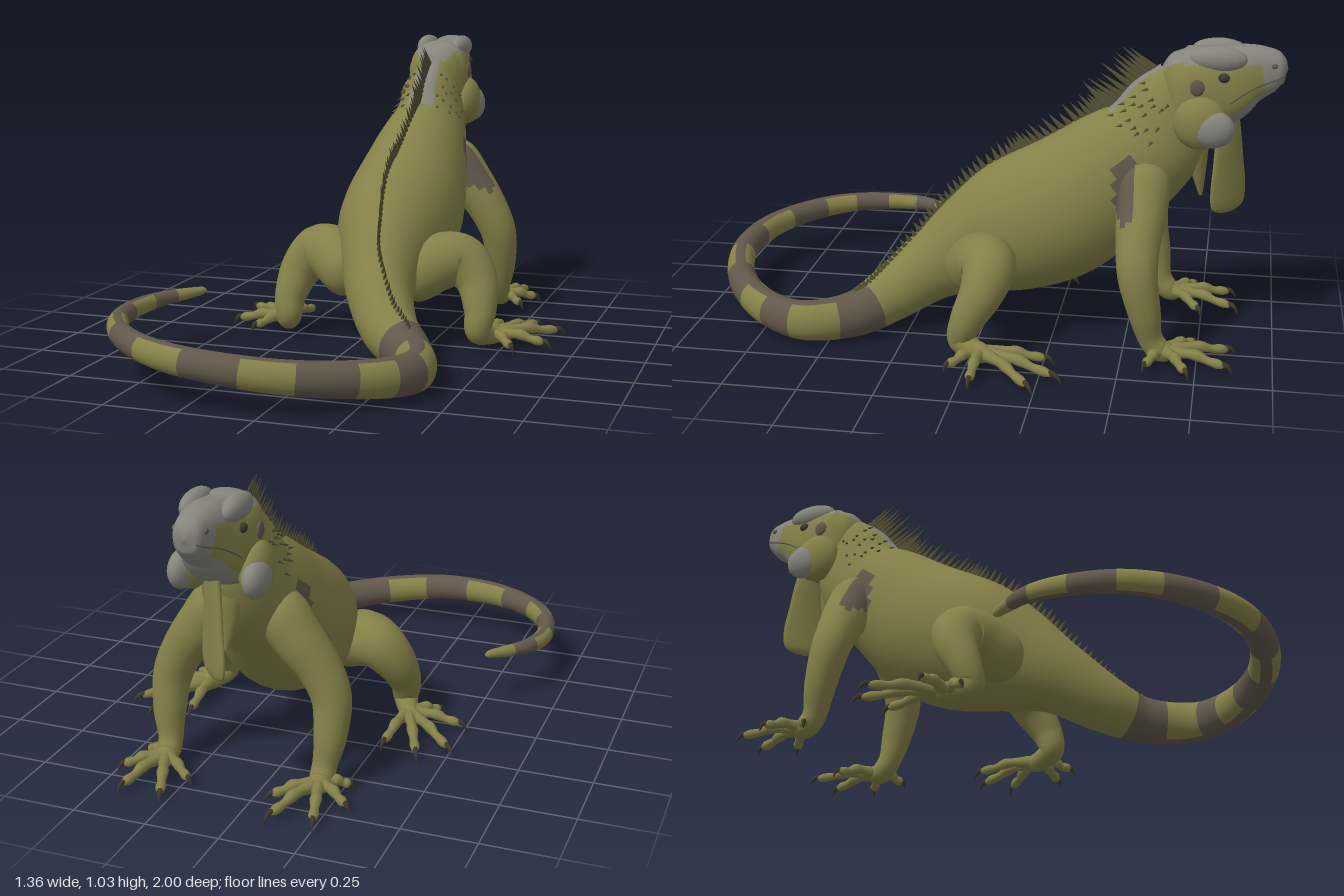
import * as THREE from 'three';
import { mergeGeometries } from 'three/addons/utils/BufferGeometryUtils.js';

const mat = (name, color) => Object.assign(new THREE.MeshStandardMaterial({ color }), { name });
const V = (x, y, z) => new THREE.Vector3(x, y, z);
const UP = V(0, 1, 0);

// Smooth path through stations [x, y, z, halfWidth, halfHeight]; returns a frame at station u
function makePath(stations, ref = UP) {
  const n = stations.length - 1;
  const line = new THREE.CatmullRomCurve3(stations.map(s => V(s[0], s[1], s[2])), false, 'catmullrom', 0.5);
  const size = new THREE.CatmullRomCurve3(stations.map(s => V(s[3], s[4] ?? s[3], 0)), false, 'catmullrom', 0.5);
  const at = u => {
    const t = line.getTangent(u / n), r = size.getPoint(u / n);
    const side = t.clone().cross(ref).normalize();
    return { c: line.getPoint(u / n), t, side, up: side.clone().cross(t), w: Math.max(r.x, 0.001), h: Math.max(r.y, 0.001) };
  };
  const point = (u, a, pow = 1, grow = 1) => {
    const f = at(u), q = v => Math.sign(v) * Math.abs(v) ** pow;
    return f.c.addScaledVector(f.side, q(Math.cos(a)) * f.w * grow).addScaledVector(f.up, q(Math.sin(a)) * f.h * grow);
  };
  return { n, at, point };
}

// Skin a path with rings; pick(u, angle, point) chooses the material of each face
function loft(path, { sides = 16, steps = 5, pow = 1, pick = () => 0, count = 1 } = {}) {
  const rings = path.n * steps, pos = [], lists = Array.from({ length: count }, () => []);
  for (let i = 0; i <= rings; i++)
    for (let j = 0; j < sides; j++) pos.push(...path.point(i / steps, (j / sides) * Math.PI * 2, pow).toArray());
  for (let i = 0; i < rings; i++)
    for (let j = 0; j < sides; j++) {
      const k = (j + 1) % sides, a = i * sides + j, b = i * sides + k, c = a + sides, d = b + sides;
      const u = (i + 0.5) / steps, angle = ((j + 0.5) / sides) * Math.PI * 2;
      lists[pick(u, angle, path.point(u, angle, pow))].push(a, c, b, b, c, d);
    }
  const g = new THREE.BufferGeometry();
  g.setAttribute('position', new THREE.Float32BufferAttribute(pos, 3));
  g.setIndex(lists.flat());
  let start = 0;
  if (count > 1) lists.forEach((l, i) => { g.addGroup(start, l.length, i); start += l.length; });
  g.computeVertexNormals();
  return g;
}

// Thin spike rooted at p and pointing along dir
function spike(p, dir, length, r, flat = 1) {
  const g = new THREE.ConeGeometry(r, length, 6).translate(0, length * 0.42, 0).scale(flat, 1, 1);
  g.applyQuaternion(new THREE.Quaternion().setFromUnitVectors(UP, dir.clone().normalize()));
  return g.translate(p.x, p.y, p.z);
}

// Brown blotch behind each shoulder
const onShoulderPatch = p => Math.abs(p.x) > 0.08 && ((p.z + 0.495) / 0.042) ** 2 + ((p.y - 0.58) / 0.105) ** 2 < 1;

export function createModel() {
  const olive = mat('olive skin', 0x858048), brown = mat('brown bands', 0x62574a), grey = mat('grey scales', 0x85857c);
  const dark = mat('dark claws', 0x3d382c), crestMat = mat('crest', 0x555034);
  const skins = [olive, brown, grey];
  const model = new THREE.Group(), lizard = new THREE.Group();
  lizard.name = 'lizard';
  lizard.position.x = 0.08;
  model.add(lizard);
  const add = (name, geo, m, parent = lizard) => {
    const o = new THREE.Mesh(geo, m);
    o.name = name;
    parent.add(o);
    return o;
  };

  // Body and curled, banded tail
  const body = makePath([
    [0, 0.9, -0.68, 0.08, 0.11], [0, 0.81, -0.625, 0.108, 0.155], [0, 0.685, -0.555, 0.143, 0.185],
    [0, 0.575, -0.43, 0.18, 0.215], [0, 0.445, -0.27, 0.21, 0.245], [0, 0.36, -0.1, 0.2, 0.235],
    [0.015, 0.285, 0.05, 0.15, 0.185], [0.045, 0.215, 0.18, 0.115, 0.13], [0.12, 0.13, 0.31, 0.095, 0.1],
    [0.22, 0.085, 0.42, 0.075, 0.08], [0.29, 0.078, 0.57, 0.06, 0.07], [0.25, 0.085, 0.7, 0.056, 0.064],
    [0.14, 0.1, 0.82, 0.052, 0.058], [-0.02, 0.117, 0.91, 0.049, 0.054], [-0.21, 0.137, 0.95, 0.046, 0.05],
    [-0.41, 0.15, 0.92, 0.043, 0.046], [-0.58, 0.16, 0.82, 0.039, 0.042], [-0.69, 0.168, 0.68, 0.035, 0.038],
    [-0.73, 0.172, 0.52, 0.031, 0.033], [-0.7, 0.18, 0.37, 0.026, 0.027], [-0.6, 0.19, 0.235, 0.015, 0.015],
    [-0.588, 0.19, 0.222, 0.001]]);
  const bands = [[8.6, 9.4], [10.3, 11.1], [11.8, 12.8], [13.7, 14.6], [15.5, 16.4], [17.2, 18], [18.8, 19.4]];
  add('bodyAndTail', loft(body, {
    sides: 32, steps: 12, count: 3,
    pick: (u, a, p) => {
      if (bands.some(b => u > b[0] && u < b[1]) || onShoulderPatch(p)) return 1;
      if (u > 9.4 && u < 19.4 && Math.abs(Math.sin(a)) > 0.9) return 1;
      return u < 1.8 && Math.sin(a) > 0.95 ? 2 : 0;
    },
  }), skins);

  // Crest of spikes from nape to tail root
  const crest = [];
  for (let i = 0; i < 66; i++) {
    const u = 0.25 + (i / 65) * 8.6, f = body.at(u);
    const len = (u < 2.2 ? 0.14 : 0.098 - (u - 2.2) * 0.011) * (0.86 + 0.14 * Math.sin(i * 2.3));
    const dir = f.up.clone().addScaledVector(f.t, 0.15).addScaledVector(UP, u < 2.2 ? 0.35 : 0.1);
    crest.push(spike(body.point(u, Math.PI / 2, 1, 0.98), dir, len, 0.014, 0.5));
  }
  add('crest', mergeGeometries(crest), crestMat);

  // Head: grey crown, snout and chin, olive cheeks
  const head = makePath([
    [0, 0.87, -0.59, 0.05, 0.07], [0, 0.872, -0.63, 0.095, 0.125], [0, 0.872, -0.69, 0.115, 0.147],
    [0, 0.893, -0.78, 0.106, 0.135], [0, 0.935, -0.87, 0.078, 0.102], [0, 0.953, -0.945, 0.056, 0.074],
    [0, 0.957, -0.985, 0.04, 0.045], [0, 0.957, -1, 0.001]]);
  add('head', loft(head, {
    sides: 36, steps: 8, pow: 0.8, count: 3,
    pick: (u, a) => {
      const top = u < 1.6 ? 0.8 : u < 3.6 ? 0.62 : 0.3;
      return Math.sin(a) > top || u > 4.6 || (u > 2.8 && Math.sin(a) < -0.6) ? 2 : 0;
    },
  }), skins);

  // Throat flap, swung to one side, and a small fold behind it
  add('throatFlap', loft(makePath([
    [0, 0.84, -0.815, 0.03, 0.02], [0, 0.74, -0.818, 0.055, 0.018], [0, 0.63, -0.822, 0.07, 0.016],
    [0, 0.54, -0.825, 0.082, 0.016], [0, 0.48, -0.825, 0.075, 0.015], [0, 0.458, -0.825, 0.04, 0.008],
    [0, 0.455, -0.825, 0.001]], V(0.68, 0, -0.73)), { sides: 20 }), olive);
  add('throatFold', loft(makePath([
    [0, 0.78, -0.7, 0.06, 0.04], [0, 0.68, -0.71, 0.055, 0.045], [0, 0.59, -0.725, 0.035, 0.025],
    [0, 0.51, -0.735, 0.006, 0.006]], V(0, 0, 1)), { sides: 14 }), olive);

  for (const s of [1, -1]) {
    const sideName = s > 0 ? 'right' : 'left';
    const ang = a => (s > 0 ? a : Math.PI - a);
    const ball = (name, p, r, m) => {
      const o = add(sideName + name, new THREE.SphereGeometry(1, 18, 12), m);
      o.position.set(s * p[0], p[1], p[2]);
      o.scale.set(...r);
    };

    // Face details
    ball('Jowl', [0.105, 0.79, -0.725], [0.052, 0.09, 0.088], olive);
    ball('CheekScale', [0.122, 0.775, -0.765], [0.042, 0.064, 0.074], grey);
    ball('Brow', [0.066, 0.995, -0.775], [0.036, 0.043, 0.095], grey);
    ball('Eye', [0.093, 0.94, -0.795], [0.014, 0.016, 0.02], dark);
    ball('Ear', [0.113, 0.908, -0.712], [0.009, 0.028, 0.024], brown);
    ball('Nostril', [0.05, 0.975, -0.955], [0.007, 0.009, 0.011], brown);
    const lip = [3.2, 3.8, 4.4, 5, 5.6, 6.2].map(u => head.point(u, ang(-0.3), 0.8));
    add(sideName + 'MouthLine', new THREE.TubeGeometry(new THREE.CatmullRomCurve3(lip), 20, 0.003, 5), brown);

    // Small pointed scales on the neck
    const scales = [];
    for (let i = 0; i < 20; i++) {
      const u = 0.8 + (i % 5) * 0.25 + 0.1 * Math.sin(i * 4.1), p = body.point(u, ang(0.15 + Math.floor(i / 5) * 0.28 + 0.1 * Math.sin(i * 2.7)));
      const f = body.at(u);
      scales.push(spike(p, p.clone().sub(f.c).normalize().addScaledVector(f.t, 0.7), 0.024, 0.006));
    }
    add(sideName + 'NeckScales', mergeGeometries(scales), crestMat);

    // Limbs with spread, clawed toes
    const limb = (name, stations, ref, palm, tips) => {
      const group = new THREE.Group();
      group.name = sideName + name;
      lizard.add(group);
      const path = makePath(stations.map(p => [s * p[0], ...p.slice(1)]), V(s * ref[0], ref[1], ref[2]));
      add('leg', loft(path, { sides: 20, steps: 8, count: 2, pick: (u, a, p) => (onShoulderPatch(p) ? 1 : 0) }), skins, group);
      for (const [tx, tz] of tips) {
        const dx = tx - palm[0], dz = tz - palm[2], at = (k, y, r) => [s * (palm[0] + dx * k), y, palm[2] + dz * k, r];
        add('toe', loft(makePath([at(-0.1, palm[1], 0.012), at(0.1, palm[1], 0.024), at(0.36, 0.055, 0.017), at(0.5, 0.054, 0.02),
          at(0.64, 0.043, 0.014), at(0.78, 0.038, 0.017), at(0.87, 0.034, 0.01), at(0.89, 0.032, 0.001)]), { sides: 8, steps: 3 }), olive, group);
        add('claw', loft(makePath([at(0.82, 0.038, 0.008), at(0.9, 0.039, 0.009), at(0.96, 0.028, 0.006), at(1, 0.008, 0.001)]),
          { sides: 6, steps: 3 }), dark, group);
      }
    };
    limb('FrontLeg', [
      [0.06, 0.62, -0.55, 0.03], [0.1, 0.59, -0.55, 0.085], [0.165, 0.505, -0.55, 0.085], [0.235, 0.41, -0.545, 0.074],
      [0.28, 0.31, -0.55, 0.066], [0.285, 0.19, -0.575, 0.055], [0.275, 0.1, -0.595, 0.042], [0.272, 0.055, -0.625, 0.04],
      [0.272, 0.045, -0.665, 0.028], [0.272, 0.043, -0.68, 0.001]],
    [1, 0, 0.25], [0.272, 0.05, -0.64], [[0.13, -0.75], [0.18, -0.88], [0.335, -0.87], [0.405, -0.73], [0.37, -0.58]]);
    limb('HindLeg', [
      [0.07, 0.23, 0.06, 0.03], [0.11, 0.245, 0.04, 0.09], [0.19, 0.295, -0.02, 0.1], [0.265, 0.3, -0.055, 0.092],
      [0.325, 0.235, -0.04, 0.075], [0.35, 0.145, 0.005, 0.057], [0.348, 0.075, 0.025, 0.045], [0.37, 0.052, -0.02, 0.036],
      [0.395, 0.046, -0.065, 0.03], [0.405, 0.044, -0.085, 0.001]],
    [0.5, 0.3, 0.8], [0.38, 0.05, -0.045], [[0.36, -0.29], [0.5, -0.33], [0.6, -0.25], [0.59, -0.04], [0.48, 0.06]]);
  }
  return model;
}
